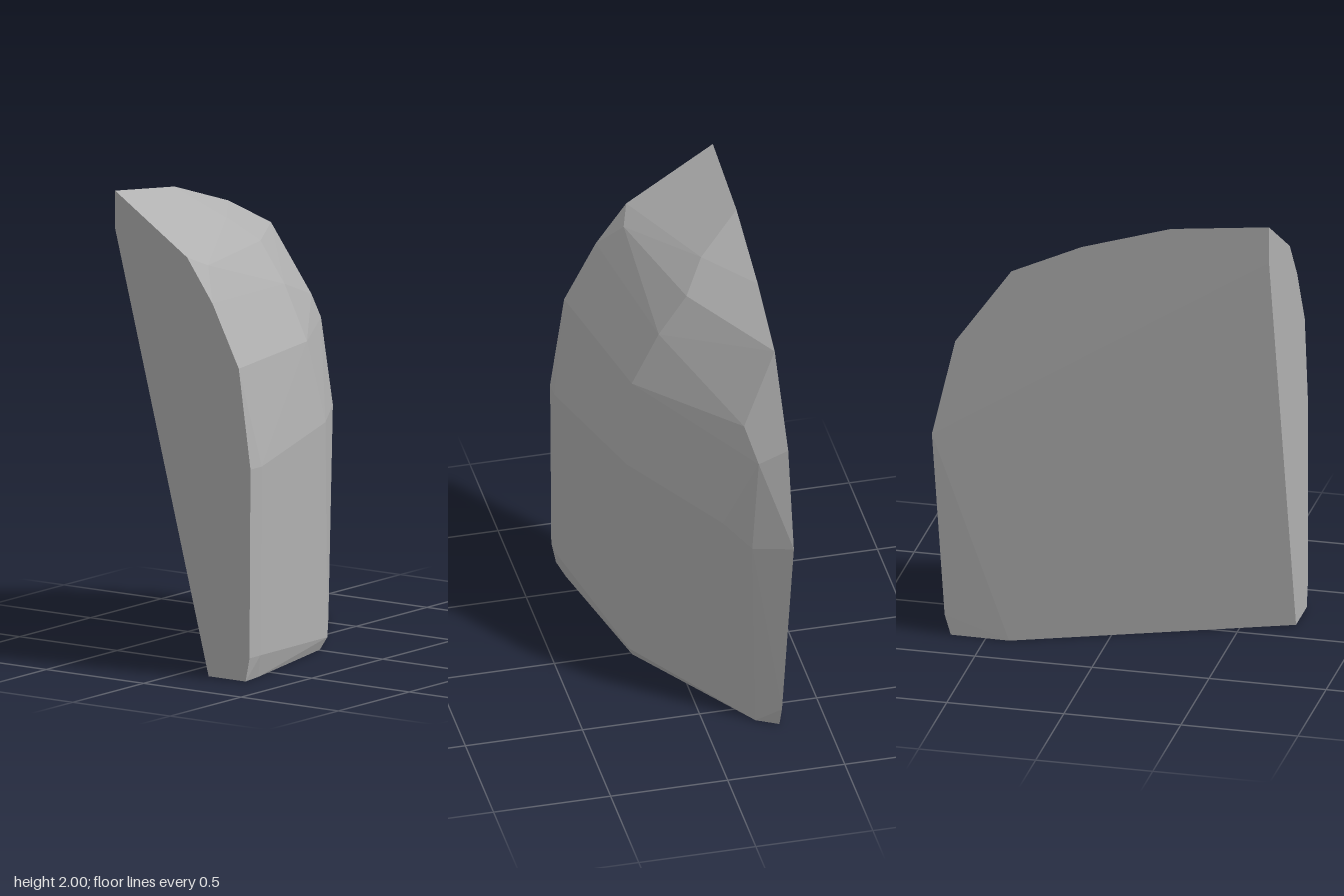
import * as THREE from 'three';
import { ConvexGeometry } from 'three/addons/geometries/ConvexGeometry.js';

export function createModel() {
  const model = new THREE.Group();
  model.name = 'rockShard';
  const stone = new THREE.MeshStandardMaterial({ color: 0xb0b0b0 });
  stone.name = 'grey stone';

  // flat front cut, outlined as x, y
  const front = [
    [-0.35, 2], [0.02, 1.76], [0.15, 1.58], [0.285, 1.32], [0.345, 0.9],
    [0.34, 0.1], [0.32, 0], [0.13, 0], [-0.35, 1.84],
  ].map(([x, y]) => [x, y, 0.72]);

  // flat side cut, outlined as y, z
  const side = [
    [1.95, 0.3], [1.83, -0.08], [1.69, -0.38], [1.35, -0.62], [0.92, -0.72],
  ].map(([y, z]) => [-0.35, y, z]);

  // corners of the rounded outer face, top to bottom
  const outer = [
    [-0.17, 1.82, 0.18], [-0.08, 1.715, 0.065], [0.055, 1.715, 0.62],
    [0.04, 1.545, 0.06], [0.155, 1.315, 0.06], [-0.2, 1.39, -0.46],
    [-0.235, 1.27, -0.575], [0.195, 0.965, -0.015], [0.345, 0.9, 0.64],
    [-0.105, 0.93, -0.48], [-0.2, 0.87, -0.605], [0.338, 0.1, 0.64],
    [0.187, 0.05, -0.04], [-0.22, 0.1, -0.595], [-0.31, 0.09, -0.675],
  ];

  // underside
  const base = [
    [0.305, 0, 0.61], [0.17, 0, -0.01], [-0.215, 0, -0.6],
    [-0.305, 0, -0.65], [-0.31, 0, -0.4],
  ];

  const points = [...front, ...side, ...outer, ...base].map((p) => new THREE.Vector3(...p));
  const shard = new THREE.Mesh(new ConvexGeometry(points), stone);
  shard.name = 'shard';
  model.add(shard);
  return model;
}
